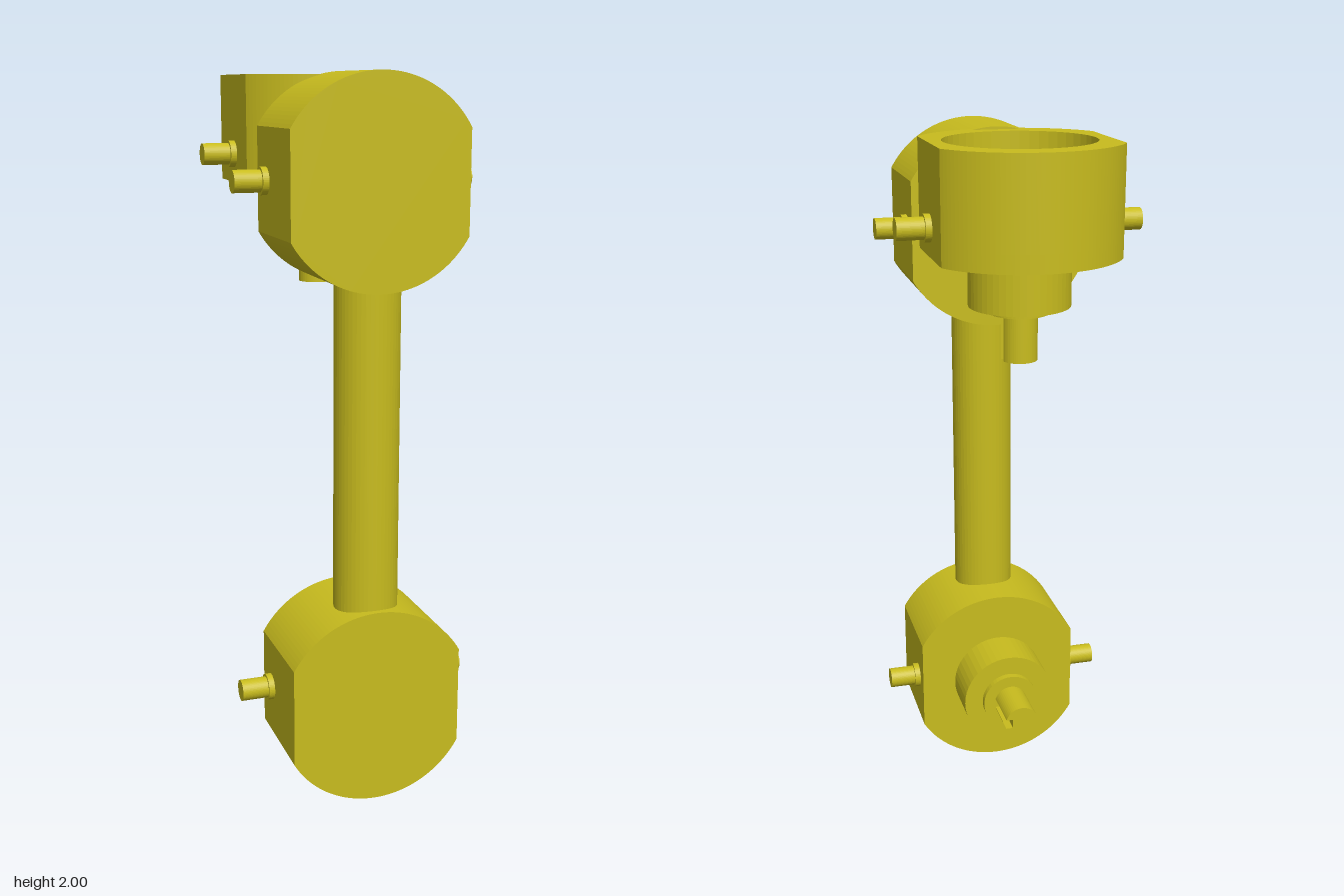
import * as THREE from 'three';

const material = new THREE.MeshStandardMaterial({ color: 0xc8bc1e });

function disc(r) {
  return new THREE.Shape().absarc(0, 0, r, 0, Math.PI * 2);
}

// Round housing outline with two flat sides at +x and -x
function housingShape(r = 0.28, flat = 0.243) {
  const a = Math.acos(flat / r);
  const s = new THREE.Shape();
  s.absarc(0, 0, r, a, Math.PI - a);
  s.absarc(0, 0, r, Math.PI + a, Math.PI * 2 - a);
  s.closePath();
  return s;
}

// Shaft outline with a keyway on the +x side
function shaftShape(r = 0.05, half = 0.014, depth = 0.022) {
  const a = Math.asin(half / r);
  const s = new THREE.Shape();
  s.absarc(0, 0, r, a, Math.PI * 2 - a);
  s.lineTo(r - depth, -half);
  s.lineTo(r - depth, half);
  s.closePath();
  return s;
}

// Extrude a section along z from z0 to z1, with an optional round bore
function addPart(parent, name, shape, z0, z1, bore = 0) {
  if (bore) shape.holes.push(new THREE.Path().absarc(0, 0, bore, 0, Math.PI * 2, true));
  const geo = new THREE.ExtrudeGeometry(shape, { depth: z1 - z0, bevelEnabled: false, curveSegments: 24 });
  geo.translate(0, 0, z0);
  const mesh = new THREE.Mesh(geo, material);
  mesh.name = name;
  parent.add(mesh);
  return mesh;
}

// One joint: housing towards +z, stepped boss and keyed shaft towards -z
function joint(name, open) {
  const g = new THREE.Group();
  g.name = name;
  if (open) {
    addPart(g, 'housingWall', housingShape(), 0.05, 0.295, 0.205);
    addPart(g, 'housingFloor', housingShape(), 0, 0.05, 0.139);
  } else {
    addPart(g, 'housing', housingShape(), 0, 0.3);
  }
  addPart(g, 'boss', disc(0.14), -0.14, 0, open ? 0.083 : 0);
  addPart(g, 'collar', disc(0.084), -0.16, -0.14, open ? 0.05 : 0);
  addPart(g, 'shaft', shaftShape(), -0.292, open ? -0.15 : -0.14);

  // Side connectors
  for (const side of [-1, 1]) {
    const peg = new THREE.Group();
    peg.name = side > 0 ? 'leftConnector' : 'rightConnector';
    addPart(peg, 'connectorCollar', disc(0.037), 0.235, 0.26);
    addPart(peg, 'connectorPin', disc(0.03), 0.25, 0.335);
    peg.rotation.y = side * Math.PI / 2;
    peg.position.z = 0.078;
    g.add(peg);
  }
  return g;
}

export function createModel() {
  const model = new THREE.Group();
  model.name = 'jointedArm';

  const lower = joint('lowerJoint', false);
  lower.position.set(0, 0.283, 0.113);

  const upper = joint('upperJoint', false);
  upper.position.set(0, 1.72, 0.113);

  // Open joint turned upright behind the upper one
  const end = joint('endJoint', true);
  end.rotation.x = -Math.PI / 2;
  end.position.set(0, 1.697, -0.135);

  // Link tube between the two front joints
  const link = new THREE.Group();
  link.name = 'link';
  addPart(link, 'linkTube', disc(0.09), 0.5, 1.5);
  link.rotation.x = -Math.PI / 2;
  link.position.z = 0.306;

  model.add(lower, upper, end, link);
  return model;
}
